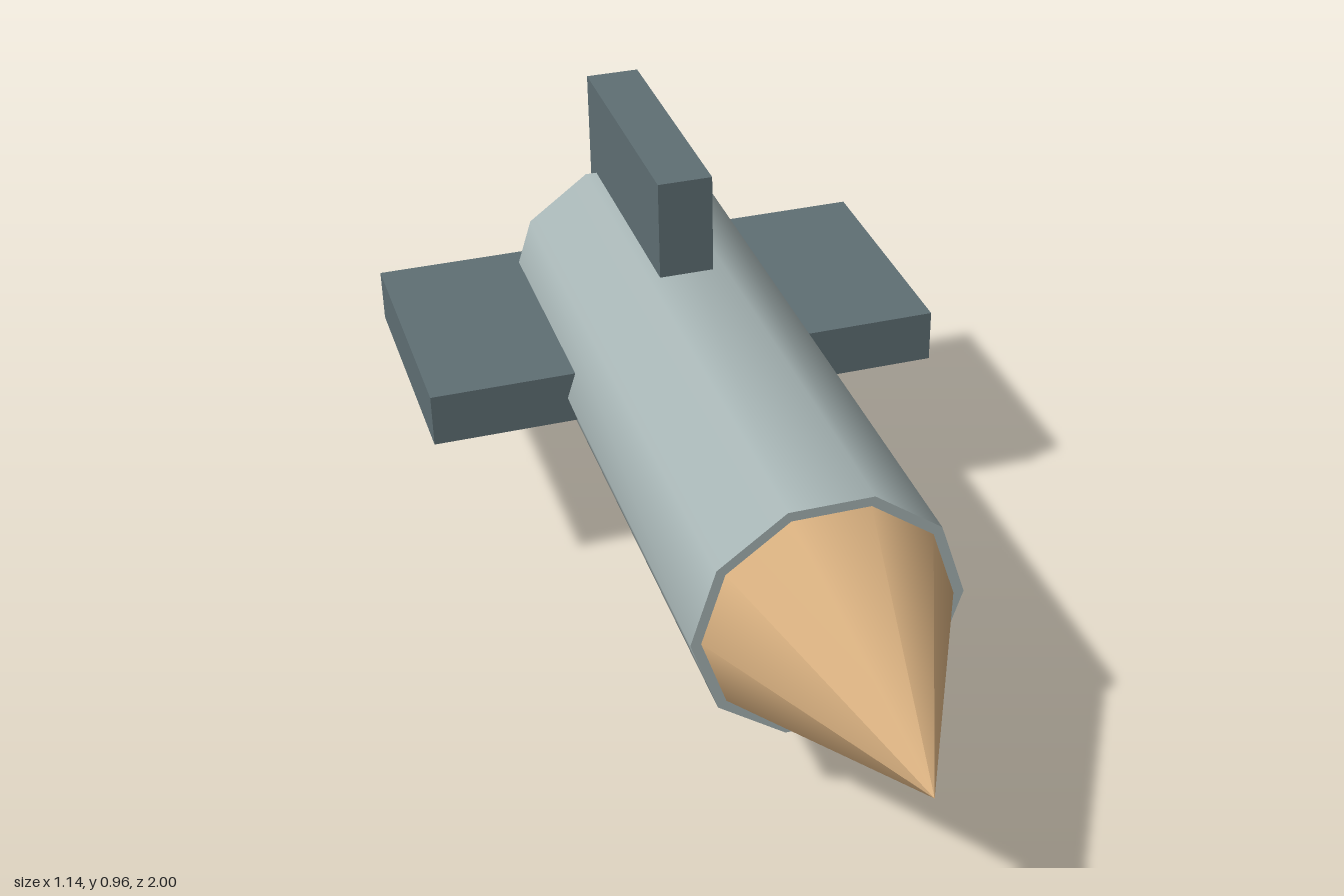
import * as THREE from 'three';

const AXIS_Y = 0.478;
const SIDES = 10;

export function createModel() {
  const group = new THREE.Group();
  const bodyMat = new THREE.MeshStandardMaterial({ color: 0xa9b7b7 });
  const noseMat = new THREE.MeshStandardMaterial({ color: 0xd8b080 });
  const finMat = new THREE.MeshStandardMaterial({ color: 0x5f6f74 });

  const add = (name, geometry, material, z) => {
    const mesh = new THREE.Mesh(geometry, material);
    mesh.name = name;
    mesh.position.set(0, AXIS_Y, z);
    group.add(mesh);
  };

  // A ten-sided round section lying along z, with corners on the left and right
  const round = (front, back, length) =>
    new THREE.CylinderGeometry(front, back, length, SIDES, 1, false, Math.PI / 2).rotateX(Math.PI / 2);

  // Body tube, from z = -0.95 to 0.475
  add('body', round(0.273, 0.273, 1.425), bodyMat, -0.2375);

  // Pointed nose, from z = 0.475 to 1
  add('nose', round(0, 0.252, 0.525), noseMat, 0.7375);

  // Crossed tail fins running through the body, from z = -1 to -0.43
  add('horizontalFins', new THREE.BoxGeometry(1.14, 0.118, 0.57), finMat, -0.715);
  add('verticalFins', new THREE.BoxGeometry(0.118, 0.956, 0.57), finMat, -0.715);

  return group;
}
